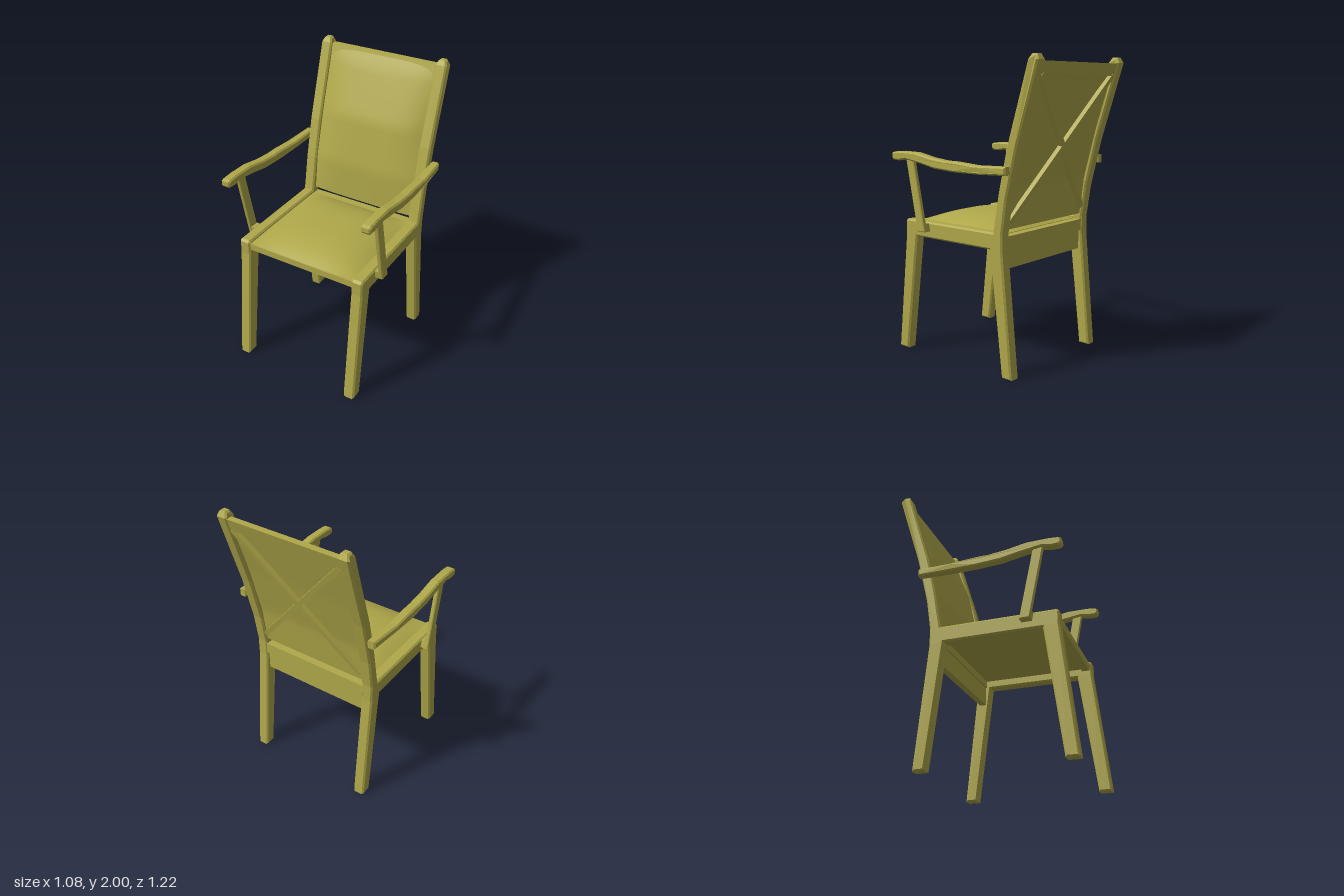
import * as THREE from 'three';

const wood = new THREE.MeshStandardMaterial({ color: 0xb0a84a, roughness: 0.8 });

// Extrudes a [z, y] outline along x from x0 to x1 with chamfered edges
function sideProfile(points, x0, x1, bevel = 0.008) {
  const shape = new THREE.Shape(points.map(([z, y]) => new THREE.Vector2(-z, y)));
  const geo = new THREE.ExtrudeGeometry(shape, {
    depth: x1 - x0 - 2 * bevel,
    bevelEnabled: bevel > 0,
    bevelSize: bevel,
    bevelThickness: bevel,
    bevelOffset: -bevel,
    bevelSegments: 1,
  });
  geo.rotateY(Math.PI / 2);
  geo.translate(x0 + bevel, 0, 0);
  return geo;
}

// Reshapes every vertex of a geometry by a rule
function reshape(geo, rule) {
  const pos = geo.attributes.position;
  for (let i = 0; i < pos.count; i++) {
    pos.setXYZ(i, ...rule(pos.getX(i), pos.getY(i), pos.getZ(i)));
  }
  geo.computeVertexNormals();
  return geo;
}

// Linear interpolation through [key, value] pairs
function sample(table, t) {
  for (let i = 1; i < table.length; i++) {
    const [a, va] = table[i - 1];
    const [b, vb] = table[i];
    if (t <= b || i === table.length - 1) return va + ((vb - va) * (t - a)) / (b - a);
  }
}

export function createModel() {
  const chair = new THREE.Group();
  chair.name = 'armchair';
  const add = (name, geo, parent = chair) => {
    const mesh = new THREE.Mesh(geo, wood);
    mesh.name = name;
    parent.add(mesh);
    return mesh;
  };

  // Outlines in the side plane, as [z, y]
  const frame = [
    [0.61, 0], [0.52, 0.82], [0.52, 0.91], [0.505, 0.925],
    [-0.262, 0.925], [-0.308, 1.18], [-0.37, 1.45], [-0.53, 1.97],
    [-0.55, 2.0], [-0.587, 2.0], [-0.605, 1.965],
    [-0.445, 1.45], [-0.367, 1.13], [-0.335, 0.92], [-0.335, 0.8],
    [-0.41, 0], [-0.33, 0], [-0.235, 0.815], [0.415, 0.815], [0.525, 0],
  ];
  const arm = [
    [0.567, 1.375], [0.545, 1.385], [0.48, 1.39], [0.34, 1.388], [0.2, 1.362],
    [0.08, 1.35], [0, 1.35], [-0.18, 1.338], [-0.41, 1.345],
    [-0.41, 1.292], [-0.2, 1.285], [0, 1.285], [0.17, 1.295],
    [0.3, 1.32], [0.44, 1.34], [0.5, 1.328], [0.555, 1.33], [0.567, 1.345],
  ];
  const support = [[0.445, 1.345], [0.378, 1.345], [0.282, 0.865], [0.35, 0.865]];
  const peg = [[0.359, 0.918], [0.295, 0.918], [0.282, 0.865], [0.35, 0.865]];

  // Side frames, armrests and their supports, mirrored
  for (const side of [1, -1]) {
    const group = new THREE.Group();
    group.name = side > 0 ? 'leftSide' : 'rightSide';
    chair.add(group);
    const profile = (points, a, b, bevel) =>
      side > 0 ? sideProfile(points, a, b, bevel) : sideProfile(points, -b, -a, bevel);

    add('legsAndBackPost', reshape(profile(frame, 0.39, 0.47, 0.011), (x, y, z) => {
      // taper the post tip into a blunt point
      const t = Math.max(0, (y - 1.97) / 0.03);
      return [x + (side * 0.43 - x) * 0.4 * t, y, z];
    }), group);

    add('armrest', reshape(profile(arm, 0.475, 0.542, 0.01), (x, y, z) => {
      // narrow the outer edge towards the back
      const t = THREE.MathUtils.clamp((-0.14 - z) / 0.27, 0, 1);
      return [Math.abs(x) > 0.505 ? x - side * 0.014 * t : x - side * 0.004 * t, y, z];
    }), group);
    add('armSupport', profile(support, 0.494, 0.525, 0.006), group);
    add('supportPeg', profile(peg, 0.465, 0.522, 0.004), group);
  }

  // Cross rails between the side frames
  const rails = {
    frontRail: [[0.505, 0.905], [0.45, 0.905], [0.45, 0.855], [0.505, 0.855]],
    rearRail: [[-0.262, 0.9], [-0.33, 0.9], [-0.33, 0.822], [-0.262, 0.822]],
    rearApron: [[-0.27, 0.82], [-0.315, 0.82], [-0.315, 0.69], [-0.27, 0.69]],
    topRail: [[-0.552, 1.96], [-0.597, 1.96], [-0.572, 1.88], [-0.527, 1.88]],
  };
  for (const [name, points] of Object.entries(rails)) {
    add(name, sideProfile(points, -0.4, 0.4, 0.005));
  }

  // Domed seat cushion
  const dome = (u) => 1 - Math.abs(u) ** 3;
  add('seat', reshape(new THREE.BoxGeometry(2, 2, 2, 20, 1, 20), (u, v, w) => [
    u * 0.397,
    v > 0 ? 0.903 + 0.073 * dome(u) * dome(w) : 0.87,
    0.118 + w * 0.39,
  ]));

  // Curved back panel, padded towards the front
  const edge = [[0.94, -0.3], [1.2, -0.335], [1.54, -0.425], [1.87, -0.525], [1.955, -0.558]];
  const front = [[0.94, -0.288], [1.2, -0.297], [1.54, -0.362], [1.87, -0.503], [1.955, -0.553]];
  add('backPanel', reshape(new THREE.BoxGeometry(2, 2, 2, 20, 24, 1), (u, v, w) => {
    const y = 1.4475 + v * 0.5075;
    const rim = sample(edge, y);
    const z = w > 0 ? rim + (sample(front, y) - rim) * (1 - u ** 4) : rim - 0.02;
    return [u * 0.397, y, z];
  }));

  // Crossed braces behind the panel
  const braces = new THREE.Group();
  braces.name = 'backBraces';
  braces.position.set(0, 1.44, -0.445);
  braces.rotation.x = -0.255;
  chair.add(braces);
  for (const side of [1, -1]) {
    const brace = add('diagonalBrace', new THREE.BoxGeometry(0.035, 1.2, 0.03), braces);
    brace.rotation.z = side * Math.atan2(0.77, 0.92);
  }

  return chair;
}
